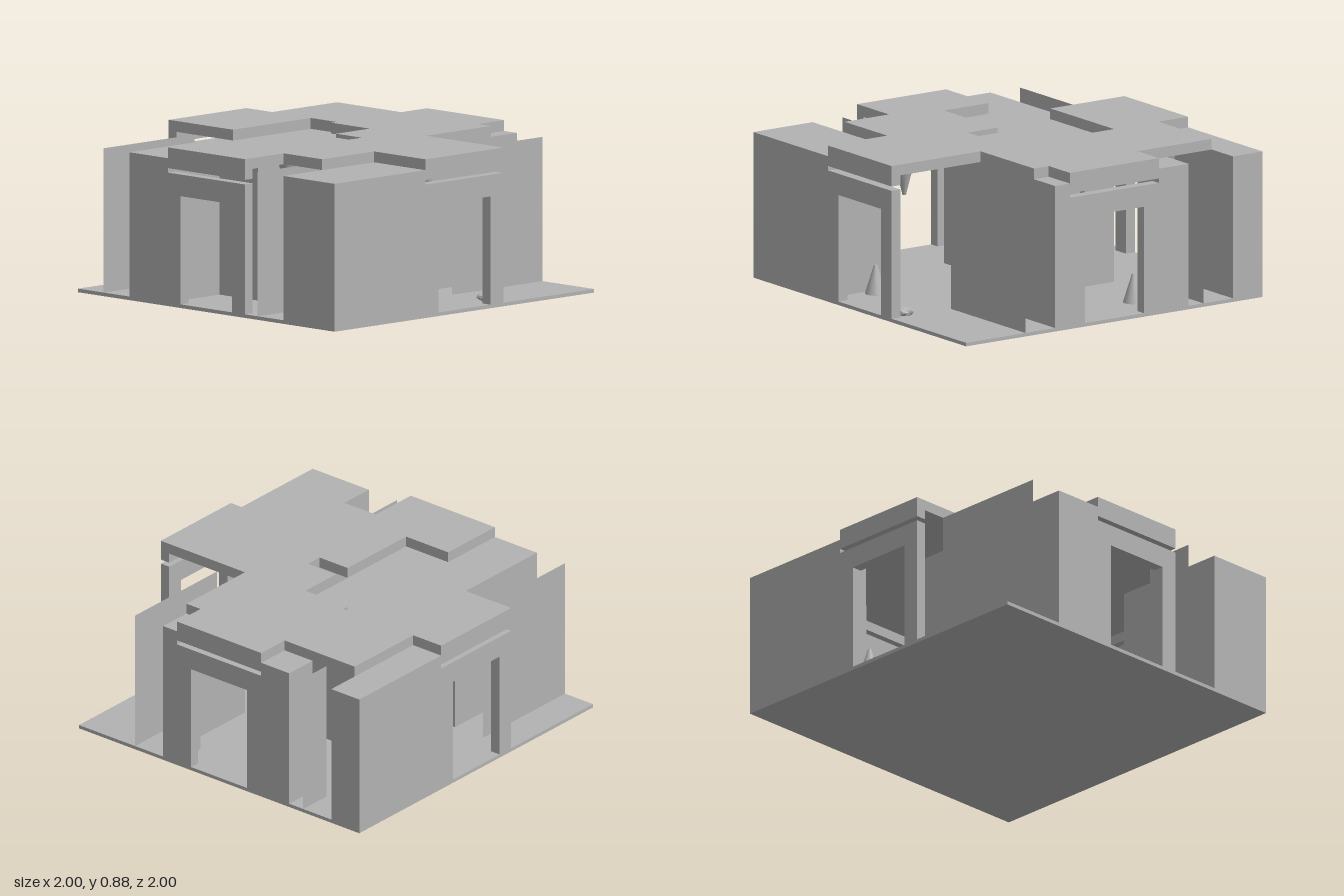
import * as THREE from 'three';

const stone = new THREE.MeshStandardMaterial({ color: 0xb2b2b2, side: THREE.DoubleSide });
stone.name = 'stone';

const FLOOR = 0.02, TOP = 0.82, ROOF = 0.88;

export function createModel() {
  const model = new THREE.Group();

  const add = (name, geometry, parent = model) => {
    const mesh = new THREE.Mesh(geometry, stone);
    mesh.name = name;
    parent.add(mesh);
    return mesh;
  };
  const box = (name, x0, x1, y0, y1, z0, z1, parent) =>
    add(name, new THREE.BoxGeometry(x1 - x0, y1 - y0, z1 - z0)
      .translate((x0 + x1) / 2, (y0 + y1) / 2, (z0 + z1) / 2), parent);

  // Upright slab from a floor-plan outline of [x, z] points
  const plan = (name, points, y0, y1) => {
    const shape = new THREE.Shape(points.map(([x, z]) => new THREE.Vector2(x, z)));
    const geometry = new THREE.ExtrudeGeometry(shape, { depth: y1 - y0, bevelEnabled: false });
    add(name, geometry.rotateX(Math.PI / 2).translate(0, y1, 0));
  };

  box('floor', -1, 1, 0, FLOOR, -1, 1);

  // Raised roof over the rooms, with a notch above the short inner passage
  plan('roof', [
    [-1, -0.3], [-0.6, -0.3], [-0.6, 0], [-0.1, 0], [-0.1, 0.2], [0, 0.2], [0, 0],
    [0.26, 0], [0.26, -0.3], [0.3, -0.3], [0.3, -0.5], [-0.3, -0.5], [-0.3, -1],
    [0.3, -1], [0.3, -0.8], [0.8, -0.8], [0.8, -0.3], [1, -0.3], [1, 0.3],
    [0.8, 0.3], [0.8, 0.4], [0.3, 0.4], [0.3, 1], [-0.3, 1], [-0.3, 0.6],
    [-0.7, 0.6], [-0.7, 0.3], [-1, 0.3],
  ], TOP, ROOF);

  // Solid rock between the rooms
  plan('innerWallBlock', [
    [-1, -0.6], [-0.3, -0.6], [-0.3, -0.5], [0.3, -0.5], [0.3, -0.3],
    [0.26, -0.3], [0.26, 0], [-0.6, 0], [-0.6, -0.3], [-1, -0.3],
  ], FLOOR, TOP);
  for (const [name, x0, x1, z0, z1] of [
    ['frontWallBlock', -1, -0.3, 0.6, 1],
    ['backWallBlock', 0.3, 1, -1, -0.8],
    ['sideWallBlockBack', 0.8, 1, -0.5, -0.3],
    ['sideWallBlockFront', 0.8, 1, 0.3, 0.4],
  ]) box(name, x0, x1, FLOOR, TOP, z0, z1);

  // Paper-thin walls along the open corridors: x from, x to, z
  for (const [x0, x1, z] of [
    [0.3, 1, 0.6], [0.3, 1, 0.4], [-1, -0.7, 0.4],
    [-1, -0.3, -0.8], [0.8, 1, -0.6], [-0.1, 0, 0.2],
  ]) {
    add('corridorWall', new THREE.PlaneGeometry(x1 - x0, TOP - FLOOR)
      .translate((x0 + x1) / 2, (TOP + FLOOR) / 2, z));
  }

  // A doorway in the middle of each side, with a slot below its lintel
  const doorShape = new THREE.Shape([
    [-0.3, FLOOR], [-0.2, FLOOR], [-0.2, 0.62], [0.2, 0.62],
    [0.2, FLOOR], [0.3, FLOOR], [0.3, 0.74], [-0.3, 0.74],
  ].map(([x, y]) => new THREE.Vector2(x, y)));
  ['front', 'left', 'back', 'right'].forEach((side, i) => {
    const door = new THREE.Group();
    door.name = side + 'Doorway';
    add('doorFrame', new THREE.ExtrudeGeometry(doorShape, { depth: 0.06, bevelEnabled: false })
      .translate(0, 0, 0.94), door);
    box('lintel', -0.3, 0.3, 0.765, TOP, 0.94, 1, door);
    door.rotation.y = i * Math.PI / 2;
    model.add(door);
  });

  // Cones on the floor and under the roof
  for (const [x, z] of [[-0.24, 0.72], [0.75, -0.31], [0.22, -0.85]]) {
    add('stalagmite', new THREE.CylinderGeometry(0.01, 0.06, 0.16, 16)
      .translate(x, FLOOR + 0.08, z));
  }
  for (const [x, z] of [[0, 0.7], [0.53, 0.18], [-0.5, 0.13], [0.5, -0.72]]) {
    add('stalactite', new THREE.CylinderGeometry(0.06, 0.01, 0.2, 16)
      .translate(x, TOP - 0.1, z));
  }

  // Rough loose rocks
  for (const [x, z, r] of [[0.27, 0.89, 0.045], [-0.56, 0.53, 0.055], [0.3, -0.73, 0.036]]) {
    const rock = new THREE.IcosahedronGeometry(1, 1);
    const p = rock.attributes.position;
    for (let i = 0; i < p.count; i++) {
      const k = 1 + 0.18 * Math.sin(7 * p.getX(i) + 11 * p.getY(i) + 5 * p.getZ(i) + 40 * x);
      p.setXYZ(i, p.getX(i) * k, p.getY(i) * k, p.getZ(i) * k);
    }
    rock.scale(r, r * 0.55, r).translate(x, FLOOR + r * 0.45, z);
    rock.computeVertexNormals();
    add('rock', rock);
  }

  return model;
}
